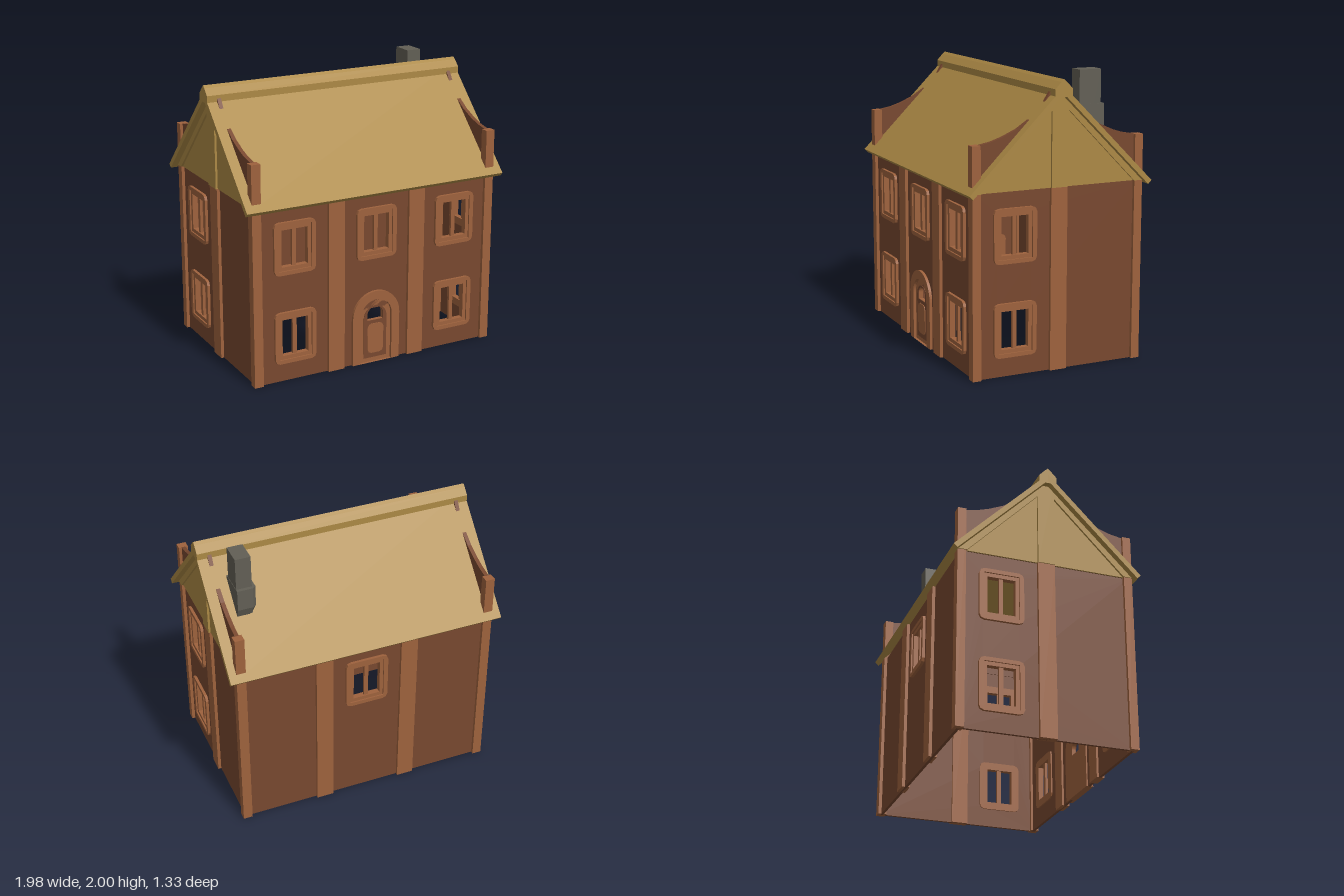
import * as THREE from 'three';

const mat = (name, color) => Object.assign(new THREE.MeshStandardMaterial({ color }), { name });

export function createModel() {
  const wallMat = mat('dark brown plaster', 0x78482f);
  const trimMat = mat('light brown trim', 0x9e623d);
  const roofMat = mat('thatch', 0xac8945);
  const stoneMat = mat('grey stone', 0x625f55);
  const house = new THREE.Group();
  house.name = 'house';

  const add = (parent, name, geo, material, x = 0, y = 0, z = 0) => {
    const m = new THREE.Mesh(geo, material);
    m.name = name;
    m.position.set(x, y, z);
    parent.add(m);
    return m;
  };
  const box = (parent, name, material, x0, x1, y0, y1, z0, z1) =>
    add(parent, name, new THREE.BoxGeometry(x1 - x0, y1 - y0, z1 - z0), material,
      (x0 + x1) / 2, (y0 + y1) / 2, (z0 + z1) / 2);
  const extrude = (shape, depth) =>
    new THREE.ExtrudeGeometry(shape, { depth, bevelEnabled: false, curveSegments: 12 });
  const poly = pts => new THREE.Shape(pts.map(p => new THREE.Vector2(p[0], p[1])));

  // Rectangle around (cx, cy) with half sizes and cut corners
  const rect = (cx, cy, hw, hh, r = 0) => poly(r
    ? [[-hw + r, -hh], [hw - r, -hh], [hw - r * 0.3, -hh + r * 0.3], [hw, -hh + r], [hw, hh - r],
      [hw - r * 0.3, hh - r * 0.3], [hw - r, hh], [-hw + r, hh], [-hw + r * 0.3, hh - r * 0.3],
      [-hw, hh - r], [-hw, -hh + r], [-hw + r * 0.3, -hh + r * 0.3]].map(p => [p[0] + cx, p[1] + cy])
    : [[cx - hw, cy - hh], [cx + hw, cy - hh], [cx + hw, cy + hh], [cx - hw, cy + hh]]);
  // Round-headed outline from y0 up, with its arch springing at ys
  const arch = (hw, y0, ys, rise = hw) => {
    const s = new THREE.Shape();
    s.moveTo(-hw, y0).lineTo(hw, y0).lineTo(hw, ys);
    s.absellipse(0, ys, hw, rise, 0, Math.PI, false);
    s.lineTo(-hw, y0);
    return s;
  };

  // Window: outer surround, inner frame and mullion, passing through the wall
  function addWindow(parent, cx, cy, z) {
    const w = new THREE.Group();
    w.name = 'window';
    w.position.set(cx, cy, z);
    const surround = rect(0, 0, 0.155, 0.185, 0.035);
    surround.holes.push(rect(0, 0, 0.123, 0.157));
    add(w, 'windowSurround', extrude(surround, 0.05), trimMat, 0, 0, -0.03);
    const frame = rect(0, 0, 0.123, 0.157);
    frame.holes.push(rect(0, 0, 0.097, 0.13));
    add(w, 'windowFrame', extrude(frame, 0.04), trimMat, 0, 0, -0.03);
    box(w, 'mullion', trimMat, -0.015, 0.015, -0.13, 0.13, -0.02, 0);
    parent.add(w);
  }

  // Door: arched surround, leaf with a fanlight opening, inlay and raised panel
  function addDoor(parent, z) {
    const d = new THREE.Group();
    d.name = 'door';
    d.position.z = z;
    const light = () => arch(0.062, 0.31, 0.355, 0.055);
    const surround = arch(0.185, 0, 0.345);
    surround.holes.push(arch(0.123, 0, 0.345));
    add(d, 'doorSurround', extrude(surround, 0.05), trimMat, 0, 0, -0.03);
    const leaf = arch(0.123, 0, 0.345);
    leaf.holes.push(light());
    add(d, 'doorLeaf', extrude(leaf, 0.03), trimMat, 0, 0, -0.03);
    const inlay = arch(0.09, 0.03, 0.33, 0.088);
    inlay.holes.push(light());
    add(d, 'doorInlay', extrude(inlay, 0.004), wallMat);
    add(d, 'doorPanel', extrude(rect(0, 0.175, 0.063, 0.11, 0.03), 0.009), trimMat);
    parent.add(d);
  }

  // Wall facing +z with window openings and vertical posts
  function addWall(name, halfWidth, dist, angle, windows, posts, door) {
    const g = new THREE.Group();
    g.name = name;
    g.rotation.y = angle;
    const shape = door
      ? poly([[-halfWidth, 0], [-0.13, 0], [-0.13, 0.4], [0.13, 0.4], [0.13, 0], [halfWidth, 0],
        [halfWidth, 1.25], [-halfWidth, 1.25]])
      : rect(0, 0.625, halfWidth, 0.625);
    for (const [x, y] of windows) {
      shape.holes.push(rect(x, y, 0.125, 0.16));
      addWindow(g, x, y, dist);
    }
    add(g, 'wallPanel', extrude(shape, 0.02), wallMat, 0, 0, dist - 0.02);
    for (const [a, b] of posts) box(g, 'wallPost', trimMat, a, b, 0, 1.25, dist - 0.035, dist + 0.022);
    if (door) addDoor(g, dist);
    house.add(g);
  }

  const up = 0.955, low = 0.318;
  const longPosts = [[-0.375, -0.252], [0.252, 0.375]];
  addWall('frontWall', 0.9, 0.602, 0,
    [[-0.625, up], [0, up], [0.625, up], [-0.625, low], [0.625, low]], longPosts, true);
  addWall('backWall', 0.9, 0.602, Math.PI, [[0, up]], longPosts, false);
  for (const s of [1, -1])
    addWall(s > 0 ? 'leftWall' : 'rightWall', 0.6, 0.915, s * Math.PI / 2,
      [[-0.315, up], [-0.315, low]], [[-0.06, 0.06]], false);

  // Corner posts rising through the roof
  for (const sx of [1, -1]) for (const sz of [1, -1])
    add(house, 'cornerPost', new THREE.BoxGeometry(0.066, 1.563, 0.06), trimMat,
      sx * 0.905, 0.7815, sz * 0.595);

  // Extrudes a (z, y) profile along x, from x0 to x1
  const along = (name, shape, material, x0, x1) => {
    const geo = extrude(shape, x1 - x0).rotateY(-Math.PI / 2).translate(x1, 0, 0);
    return add(house, name, geo, material);
  };

  // Roof slopes and ridge cap
  for (const s of [1, -1]) {
    const pts = [[0, 1.92], [0, 1.87], [0.642, 1.228], [0.667, 1.253]].map(p => [p[0] * s, p[1]]);
    along('roofSlope', poly(pts), roofMat, -0.99, 0.99);
  }
  along('ridgeCap', poly([[-0.063, 1.85], [0.063, 1.85], [0.063, 1.903], [0.02, 1.948],
    [0, 1.965], [-0.02, 1.948], [-0.063, 1.903]]), roofMat, -0.99, 0.99);

  // Gable ends and curved fins at both ends
  const half = [[0.57, 1.563], [0.48, 1.58], [0.4, 1.606], [0.3, 1.65], [0.2, 1.715], [0.115, 1.798], [0.06, 1.885]];
  const fin = poly([[-0.57, 1.25], [0.57, 1.25], ...half,
    ...half.map(p => [-p[0], p[1]]).reverse()]);
  for (const s of [1, -1]) {
    const span = (a, b) => (s > 0 ? [a, b] : [-b, -a]);
    along('curvedFin', fin, wallMat, ...span(0.89, 0.918));
    along('gablePanel', poly([[-0.625, 1.25], [0.625, 1.25], [0, 1.875]]), roofMat, ...span(0.919, 0.929));
    along('gablePost', rect(0, 1.56, 0.06, 0.31), roofMat, ...span(0.919, 0.944));
    for (const t of [1, -1])
      along('gableRafter', poly([[0.56, 1.25], [0.63, 1.25], [0.05, 1.83], [0.05, 1.77]]
        .map(p => [p[0] * t, p[1]])), roofMat, ...span(0.919, 0.944));
  }

  // Chimney: shaft, chamfered collar and a tapered neck beneath it
  box(house, 'chimneyShaft', stoneMat, 0.718, 0.826, 1.3, 2, -0.36, -0.2);
  const plan = poly([[0.828, 0.175], [0.828, 0.385], [0.72, 0.385], [0.695, 0.362], [0.695, 0.198], [0.72, 0.175]]);
  add(house, 'chimneyCollar', extrude(plan, 0.15).rotateX(-Math.PI / 2), stoneMat, 0, 1.62, 0);
  const neck = extrude(plan, 0.07).rotateX(-Math.PI / 2);
  const p = neck.attributes.position;
  for (let i = 0; i < p.count; i++) if (p.getY(i) < 0.01) {
    p.setX(i, 0.828 + (p.getX(i) - 0.828) * 0.82);
    p.setZ(i, -0.28 + (p.getZ(i) + 0.28) * 0.76);
  }
  neck.computeVertexNormals();
  add(house, 'chimneyNeck', neck, stoneMat, 0, 1.55, 0);

  return house;
}
